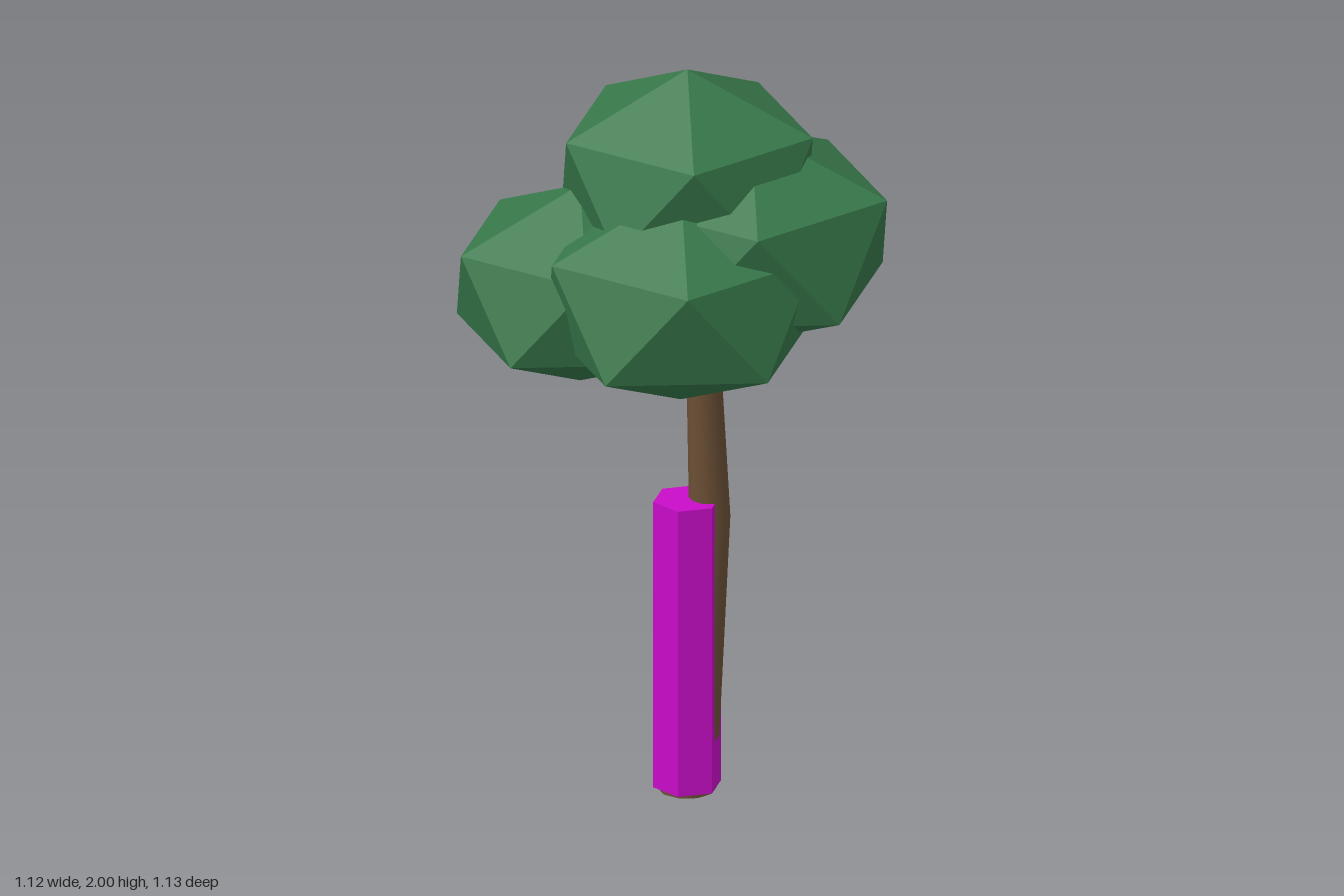
import * as THREE from 'three';

const leafMat = new THREE.MeshStandardMaterial({ color: 0x37784a, flatShading: true });
const barkMat = new THREE.MeshStandardMaterial({ color: 0x6b4f35 });
const guardMat = new THREE.MeshStandardMaterial({ color: 0xc80cc8, flatShading: true });

// Flattened icosahedron standing on a corner, with an upper ring corner towards +x
function leafClump(name, x, y, z, radius, halfHeight) {
  const geo = new THREE.IcosahedronGeometry(1, 0);
  geo.rotateZ(-Math.atan(2 / (1 + Math.sqrt(5))));
  geo.scale(radius, halfHeight, radius);
  const mesh = new THREE.Mesh(geo, leafMat);
  mesh.name = name;
  mesh.position.set(x, y, z);
  return mesh;
}

// Bent tapering trunk: a cylinder whose rings are moved to [x, y, z, radius]
function makeTrunk() {
  const rings = [
    [0.025, 0, 0.03, 0.076],
    [0.077, 0.75, 0.0, 0.053],
    [0.065, 1.22, 0.02, 0.044],
    [0.04, 1.5, 0.03, 0.035],
  ];
  const geo = new THREE.CylinderGeometry(1, 1, 1, 10, rings.length - 1);
  const pos = geo.attributes.position;
  for (let i = 0; i < pos.count; i++) {
    const [x, y, z, r] = rings[Math.round((pos.getY(i) + 0.5) * (rings.length - 1))];
    pos.setXYZ(i, x + pos.getX(i) * r, y, z + pos.getZ(i) * r);
  }
  const mesh = new THREE.Mesh(geo, barkMat);
  mesh.name = 'trunk';
  return mesh;
}

export function createModel() {
  const tree = new THREE.Group();
  tree.name = 'tree';
  tree.add(makeTrunk());

  // Six-sided post around the lower trunk
  const guard = new THREE.Mesh(new THREE.CylinderGeometry(0.09, 0.09, 0.795, 6), guardMat);
  guard.name = 'trunkGuard';
  guard.position.set(0.025, 0.4075, 0.03);
  tree.add(guard);

  // Foliage
  const foliage = new THREE.Group();
  foliage.name = 'foliage';
  [
    ['topClump', 0.025, 1.72, 0.027, 0.372, 0.28],
    ['leftClump', 0.193, 1.56, 0.027, 0.405, 0.298],
    ['backClump', -0.017, 1.385, -0.25, 0.37, 0.279],
    ['frontClump', 0.061, 1.46, 0.224, 0.396, 0.294],
    ['rightClump', -0.235, 1.415, 0.118, 0.366, 0.273],
  ].forEach((c) => foliage.add(leafClump(...c)));
  tree.add(foliage);
  return tree;
}
